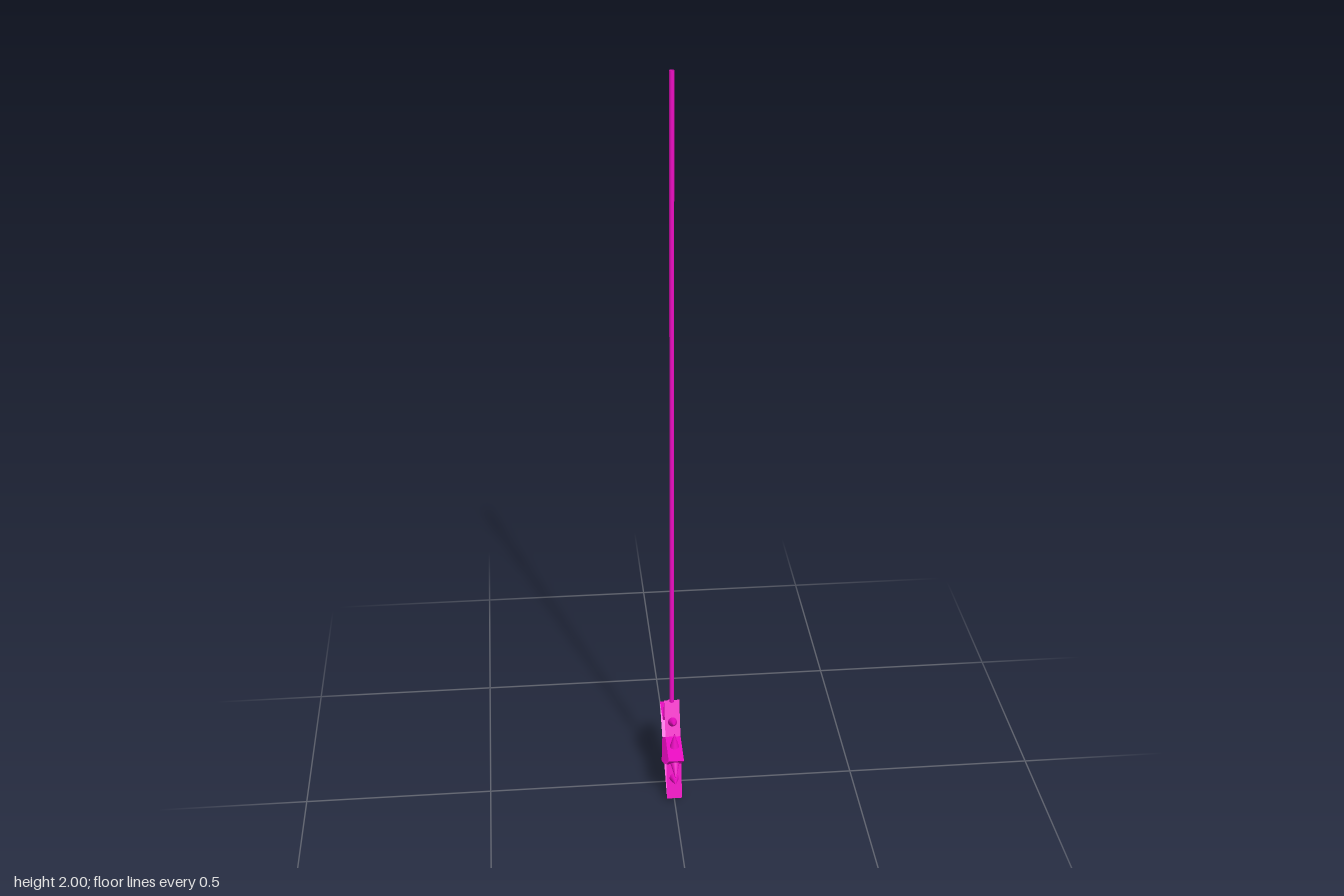
import * as THREE from 'three';

export function createModel() {
  const group = new THREE.Group();
  const material = new THREE.MeshStandardMaterial({ color: 0xee0cc4, side: THREE.DoubleSide, flatShading: true });
  const smooth = new THREE.MeshStandardMaterial({ color: 0xee0cc4, side: THREE.DoubleSide });
  const OUTER = 0.146, INNER = 0.066, CENTRE = 0.127, WIDTH = 0.041, SPIKE = 0.045;

  // Star corners in the yz plane, tip first
  const corner = (i) => {
    const r = i % 2 ? INNER : OUTER, a = (i * Math.PI) / 5;
    return new THREE.Vector3(0, CENTRE + r * Math.cos(a), r * Math.sin(a));
  };

  for (let i = 0; i < 10; i++) {
    const a = corner(i), b = corner(i + 1);
    const along = b.clone().sub(a);
    const length = along.length();
    along.normalize();
    const normal = new THREE.Vector3(0, along.z, -along.y);

    // One flat strip of the open star band
    const strip = new THREE.Mesh(new THREE.PlaneGeometry(WIDTH, length), material);
    strip.name = 'starBand';
    const basis = new THREE.Matrix4().makeBasis(
      new THREE.Vector3().crossVectors(along, normal), along, normal);
    strip.quaternion.setFromRotationMatrix(basis);
    strip.position.copy(a).lerp(b, 0.5);
    group.add(strip);

    // Spike standing on the strip, nearer its inner corner
    const spike = new THREE.Mesh(new THREE.ConeGeometry(0.0125, SPIKE, 16), smooth);
    spike.name = 'spike';
    spike.quaternion.setFromUnitVectors(new THREE.Vector3(0, 1, 0), normal);
    spike.position.copy(a).lerp(b, i % 2 ? 0.4 : 0.6).addScaledVector(normal, SPIKE / 2);
    group.add(spike);
  }

  // Long thin hanging rod, open at the ends
  const bottom = CENTRE + OUTER - 0.005;
  const rod = new THREE.Mesh(new THREE.CylinderGeometry(0.006, 0.006, 2 - bottom, 12, 1, true), smooth);
  rod.name = 'rod';
  rod.position.y = (2 + bottom) / 2;
  group.add(rod);

  return group;
}
